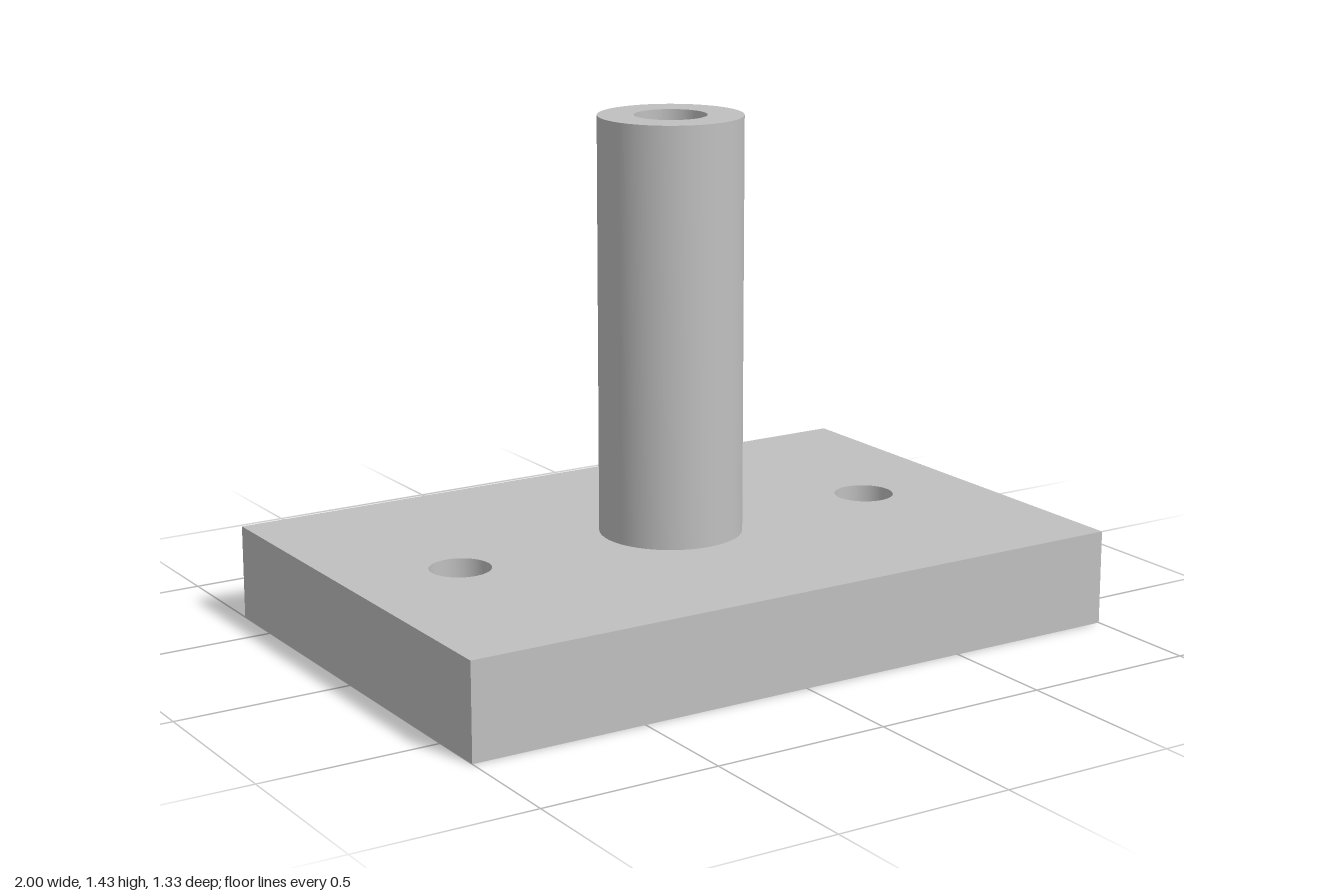
import * as THREE from 'three';
import { toCreasedNormals } from 'three/addons/utils/BufferGeometryUtils.js';

const W = 2, D = 1.333, PLATE_H = 0.267, TOP = 1.433;
const TUBE_R = 0.2, BORE_R = 0.1, HOLE_R = 0.085, HOLE_X = 0.667;

export function createModel() {
  const model = new THREE.Group();
  const steel = new THREE.MeshStandardMaterial({ color: 0xc0c0c0 });
  steel.name = 'plain grey';

  const add = (name, geometry) => {
    const mesh = new THREE.Mesh(toCreasedNormals(geometry, 0.6), steel);
    mesh.name = name;
    model.add(mesh);
  };

  // Base plate with two through holes
  const outline = new THREE.Shape([
    new THREE.Vector2(-W / 2, -D / 2), new THREE.Vector2(W / 2, -D / 2),
    new THREE.Vector2(W / 2, D / 2), new THREE.Vector2(-W / 2, D / 2),
  ]);
  for (const side of [-1, 1]) {
    outline.holes.push(new THREE.Path().absarc(side * HOLE_X, 0, HOLE_R, 0, Math.PI * 2, true));
  }
  const plate = new THREE.ExtrudeGeometry(outline, { depth: PLATE_H, bevelEnabled: false, curveSegments: 24 });
  add('basePlate', plate.rotateX(-Math.PI / 2));

  // Upright tube: outer wall, rim and bore; the plate closes the bore's bottom
  const profile = [[TUBE_R, PLATE_H], [TUBE_R, TOP], [BORE_R, TOP], [BORE_R, PLATE_H]]
    .map(([r, y]) => new THREE.Vector2(r, y));
  add('uprightTube', new THREE.LatheGeometry(profile, 48));

  return model;
}
